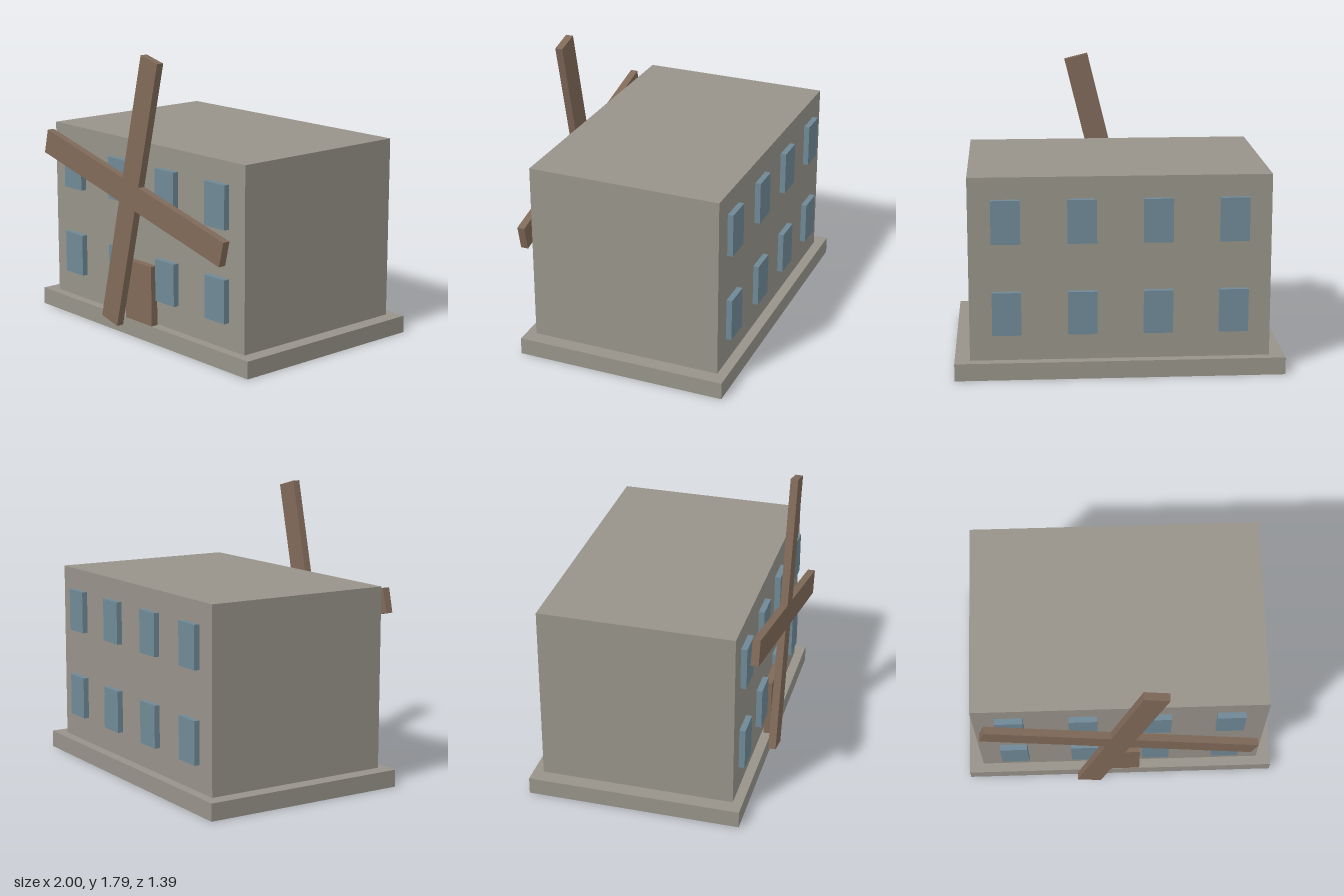
import * as THREE from 'three';

export function createModel() {
  const model = new THREE.Group();
  model.name = 'windmillBuilding';

  const stone = new THREE.MeshStandardMaterial({ name: 'stone', color: 0x97938a });
  const wood = new THREE.MeshStandardMaterial({ name: 'wood', color: 0x806a59 });
  const glass = new THREE.MeshStandardMaterial({ name: 'glass', color: 0x6f8996 });

  // Box given by its lower and upper limits on each axis
  function box(name, material, [x0, x1], [y0, y1], [z0, z1]) {
    const mesh = new THREE.Mesh(new THREE.BoxGeometry(x1 - x0, y1 - y0, z1 - z0), material);
    mesh.position.set((x0 + x1) / 2, (y0 + y1) / 2, (z0 + z1) / 2);
    mesh.name = name;
    model.add(mesh);
  }

  // Plinth, main block and door
  box('plinth', stone, [-1, 1], [0, 0.107], [-0.695, 0.63]);
  box('mainBlock', stone, [-0.907, 0.907], [0.107, 1.232], [-0.632, 0.57]);
  box('door', wood, [-0.127, 0.127], [0.107, 0.483], [0.582, 0.628]);

  // Two rows of four windows on the front and back walls
  const walls = { front: [0.57, 0.607], back: [-0.667, -0.632] };
  for (const [side, depth] of Object.entries(walls)) {
    for (const [row, height] of [['lower', [0.27, 0.535]], ['upper', [0.832, 1.098]]]) {
      for (const x of [-0.683, -0.228, 0.228, 0.683]) {
        box(`${side}${row}Window`, glass, [x - 0.0875, x + 0.0875], height, depth);
      }
    }
  }

  // Sails: one cross-shaped slab, slightly turned
  const half = 0.078, reach = 0.868;
  const points = [];
  for (let i = 0; i < 4; i++) {
    for (const [x, y] of [[reach, -half], [reach, half], [half, half]]) {
      points.push(new THREE.Vector2(x, y).rotateAround(new THREE.Vector2(), i * Math.PI / 2));
    }
  }
  const sails = new THREE.Mesh(
    new THREE.ExtrudeGeometry(new THREE.Shape(points), { depth: 0.047, bevelEnabled: false }), wood);
  sails.name = 'sails';
  sails.position.set(0, 0.924, 0.648);
  sails.rotation.z = THREE.MathUtils.degToRad(-13.75);
  model.add(sails);

  return model;
}
